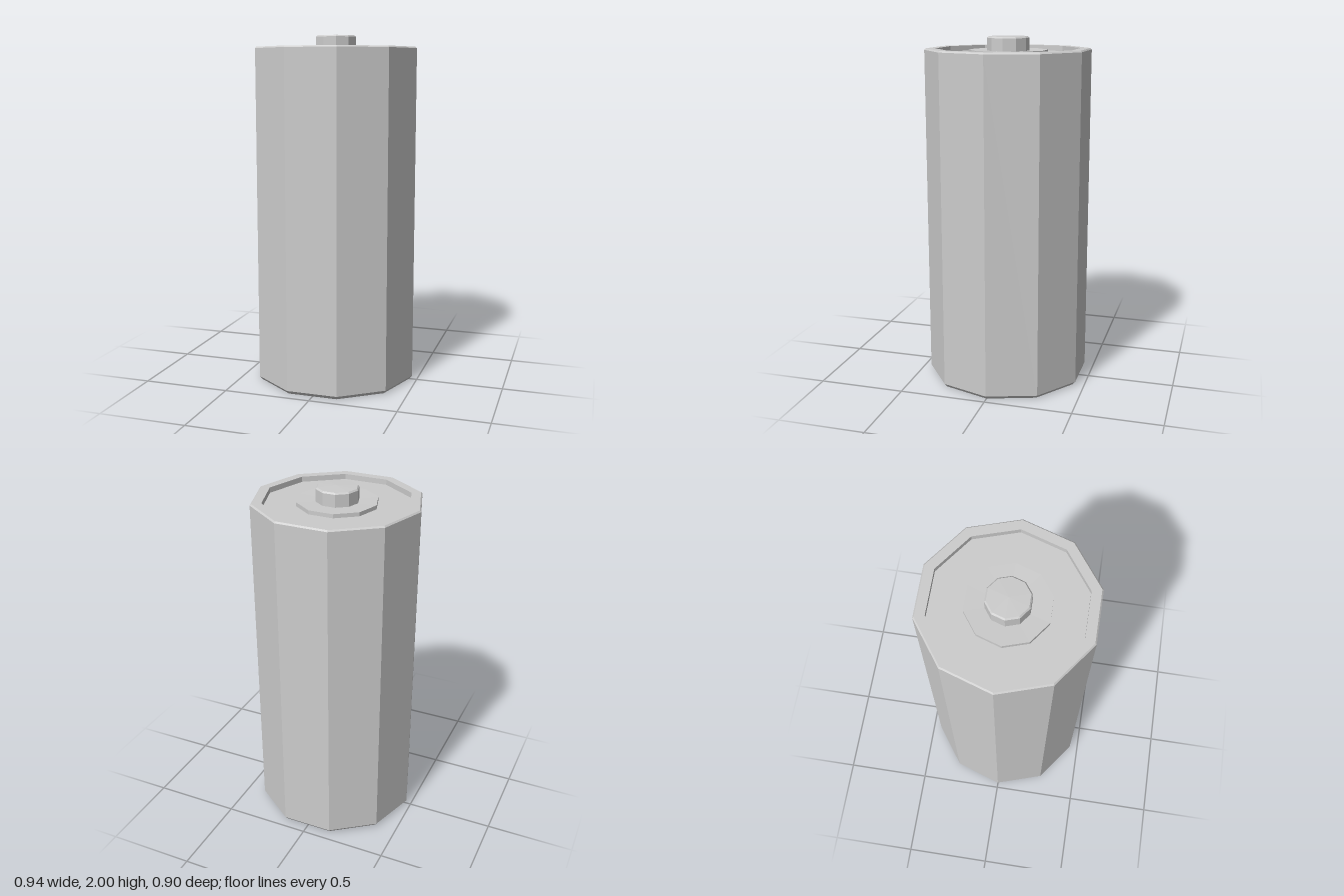
import * as THREE from 'three';

const SIDES = 10;

// Ten-sided turned part; profile runs from bottom to top as [radius, height]
function turned(name, profile, material) {
  const points = profile.map(([r, y]) => new THREE.Vector2(r, y));
  const mesh = new THREE.Mesh(new THREE.LatheGeometry(points, SIDES, Math.PI / 2), material);
  mesh.name = name;
  return mesh;
}

export function createModel() {
  const metal = new THREE.MeshStandardMaterial({ color: 0xcccccc, flatShading: true });
  metal.name = 'light grey metal';

  const group = new THREE.Group();
  group.name = 'battery';

  // Recessed negative contact with a shallow central bulge
  group.add(turned('bottomContact', [
    [0, 0.02], [0.19, 0.02], [0.24, 0.03], [0.376, 0.03], [0.376, 0],
  ], metal));

  // Casing with chamfered ends and a raised top rim
  group.add(turned('casing', [
    [0.376, 0], [0.455, 0], [0.472, 0.02], [0.472, 1.922], [0.464, 1.93], [0.41, 1.93],
  ], metal));

  // Sunken top plate with a low step around the terminal
  group.add(turned('topPlate', [
    [0.41, 1.93], [0.41, 1.9], [0.225, 1.9], [0.225, 1.922], [0.119, 1.918],
  ], metal));

  // Positive terminal with a chamfered, barely domed cap
  group.add(turned('terminal', [
    [0.119, 1.918], [0.119, 1.988], [0.111, 1.996], [0, 2],
  ], metal));

  return group;
}
